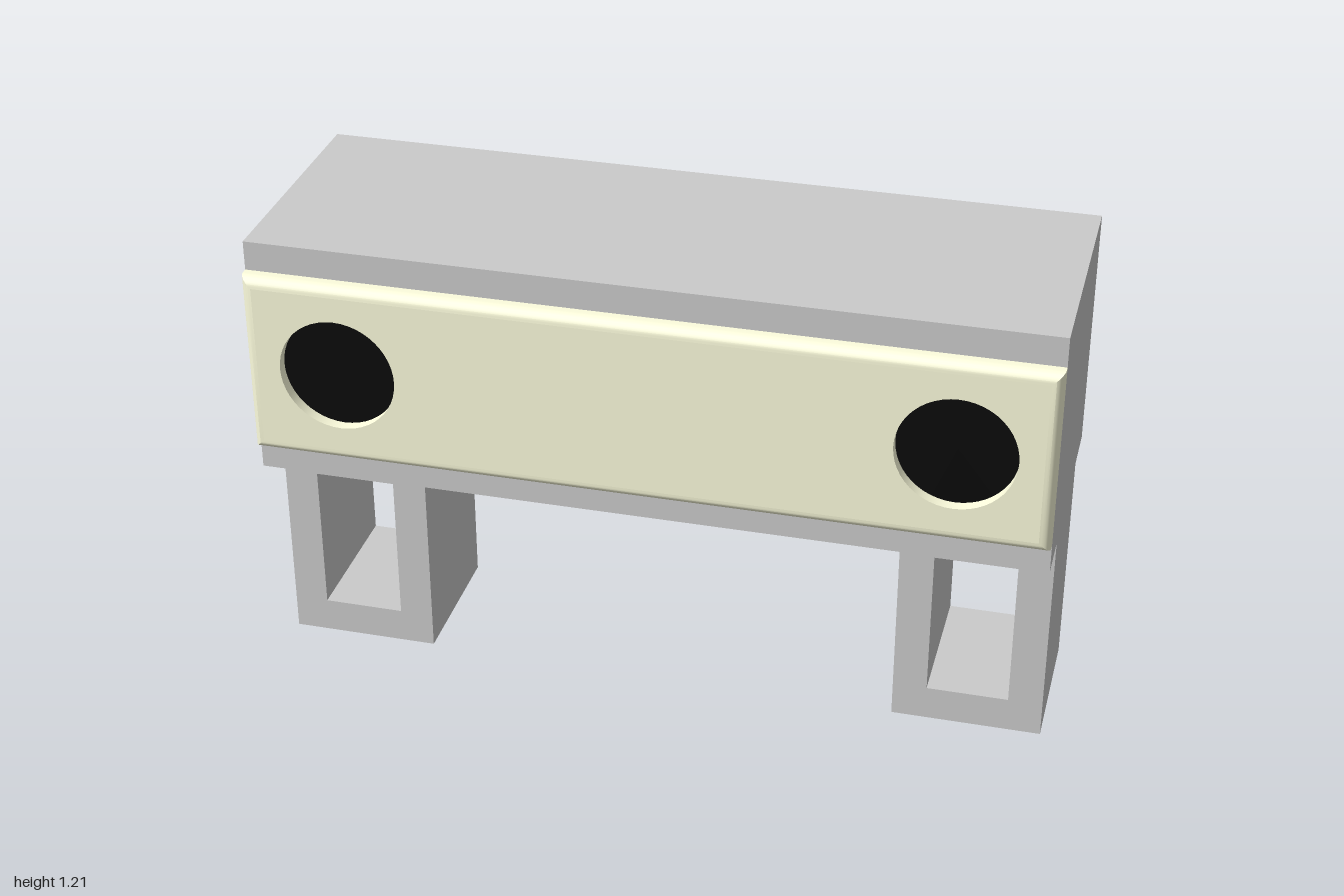
import * as THREE from 'three';
import { toCreasedNormals } from 'three/addons/utils/BufferGeometryUtils.js';

const grey = new THREE.MeshStandardMaterial({ color: 0xcccccc });
const cream = new THREE.MeshStandardMaterial({ color: 0xfdfddd });
const creamInner = new THREE.MeshStandardMaterial({ color: 0xfdfddd, side: THREE.DoubleSide });
const black = new THREE.MeshStandardMaterial({ color: 0x0a0a0a });
const paleBlue = new THREE.MeshStandardMaterial({ color: 0xe6e8f8 });

const MID_Y = 0.895; // shared centre height of body, panel and recess

function add(parent, name, geometry, material, x = 0, y = 0, z = 0) {
  const mesh = new THREE.Mesh(geometry, material);
  mesh.name = name;
  mesh.position.set(x, y, z);
  parent.add(mesh);
  return mesh;
}

// Centred rectangle as a closed outline
function rect(w, h, Type = THREE.Shape) {
  const path = new Type();
  path.moveTo(-w / 2, -h / 2);
  path.lineTo(w / 2, -h / 2);
  path.lineTo(w / 2, h / 2);
  path.lineTo(-w / 2, h / 2);
  path.closePath();
  return path;
}

// Rectangular tube running along z, starting at z = 0
function frame(w, h, holeW, holeH, depth) {
  const shape = rect(w, h);
  shape.holes.push(rect(holeW, holeH, THREE.Path));
  return new THREE.ExtrudeGeometry(shape, { depth, bevelEnabled: false });
}

// Straight side walls that round over towards the front, with mitred corners
function roundedRim(w, h, depth, r, steps = 8) {
  const rings = [[0, 0]];
  for (let i = 0; i <= steps; i++) {
    const a = (i / steps) * Math.PI / 2;
    rings.push([r * (1 - Math.cos(a)), depth - r + r * Math.sin(a)]);
  }
  const corners = [[-1, -1], [1, -1], [1, 1], [-1, 1]];
  const point = (k, i) => {
    const [inset, z] = rings[k];
    const [sx, sy] = corners[i % 4];
    return [sx * (w / 2 - inset), sy * (h / 2 - inset), z];
  };
  const positions = [];
  for (let k = 0; k < rings.length - 1; k++) {
    for (let i = 0; i < 4; i++) {
      const a = point(k, i), b = point(k, i + 1), c = point(k + 1, i + 1), d = point(k + 1, i);
      positions.push(...a, ...b, ...c, ...a, ...c, ...d);
    }
  }
  const geometry = new THREE.BufferGeometry();
  geometry.setAttribute('position', new THREE.Float32BufferAttribute(positions, 3));
  return toCreasedNormals(geometry, Math.PI / 6);
}

export function createModel() {
  const model = new THREE.Group();
  model.name = 'model';

  // Body: solid block, with a back wall opened for the recess
  const body = new THREE.Group();
  body.name = 'body';
  body.position.y = MID_Y;
  model.add(body);
  const bodyH = 0.634, back = -0.348, front = 0.304, recess = 0.067;
  const blockD = front - back - recess;
  add(body, 'bodyBlock', new THREE.BoxGeometry(2, bodyH, blockD), grey, 0, 0, front - blockD / 2);
  add(body, 'backWall', frame(2, bodyH, 1.03, 0.316, recess), grey, 0, 0, back);
  const pane = add(body, 'recessPane', new THREE.PlaneGeometry(1.03, 0.316), paleBlue, 0, 0, back + recess - 0.001);
  pane.rotation.y = Math.PI;

  // Front panel: rounded rim, flat face and two round openings
  const panel = new THREE.Group();
  panel.name = 'frontPanel';
  panel.position.set(0, MID_Y, front);
  model.add(panel);
  const panelH = 0.482, panelD = 0.044, r = 0.028, holeX = 0.764, holeR = 0.148, holeD = 0.03;
  add(panel, 'panelRim', roundedRim(2, panelH, panelD, r), cream);
  const face = rect(2 - 2 * r, panelH - 2 * r);
  for (const side of [-1, 1]) {
    face.holes.push(new THREE.Path().absarc(side * holeX, 0, holeR, 0, Math.PI * 2, true));
    const wall = new THREE.CylinderGeometry(holeR, holeR, holeD, 48, 1, true).rotateX(Math.PI / 2);
    add(panel, 'openingWall', wall, creamInner, side * holeX, 0, panelD - holeD / 2);
    add(panel, 'openingDisc', new THREE.CircleGeometry(holeR, 48), black, side * holeX, 0, panelD - holeD);
  }
  add(panel, 'panelFace', new THREE.ShapeGeometry(face, 24), cream, 0, 0, panelD);

  // Legs: hollow tubes open from front to back
  const legW = 0.382, legH = 0.578;
  for (const side of [-1, 1]) {
    add(model, side > 0 ? 'leftLeg' : 'rightLeg',
      frame(legW, legH, 0.208, 0.396, 0.382), grey, side * (1 - legW / 2), legH / 2, -0.212);
  }
  return model;
}
